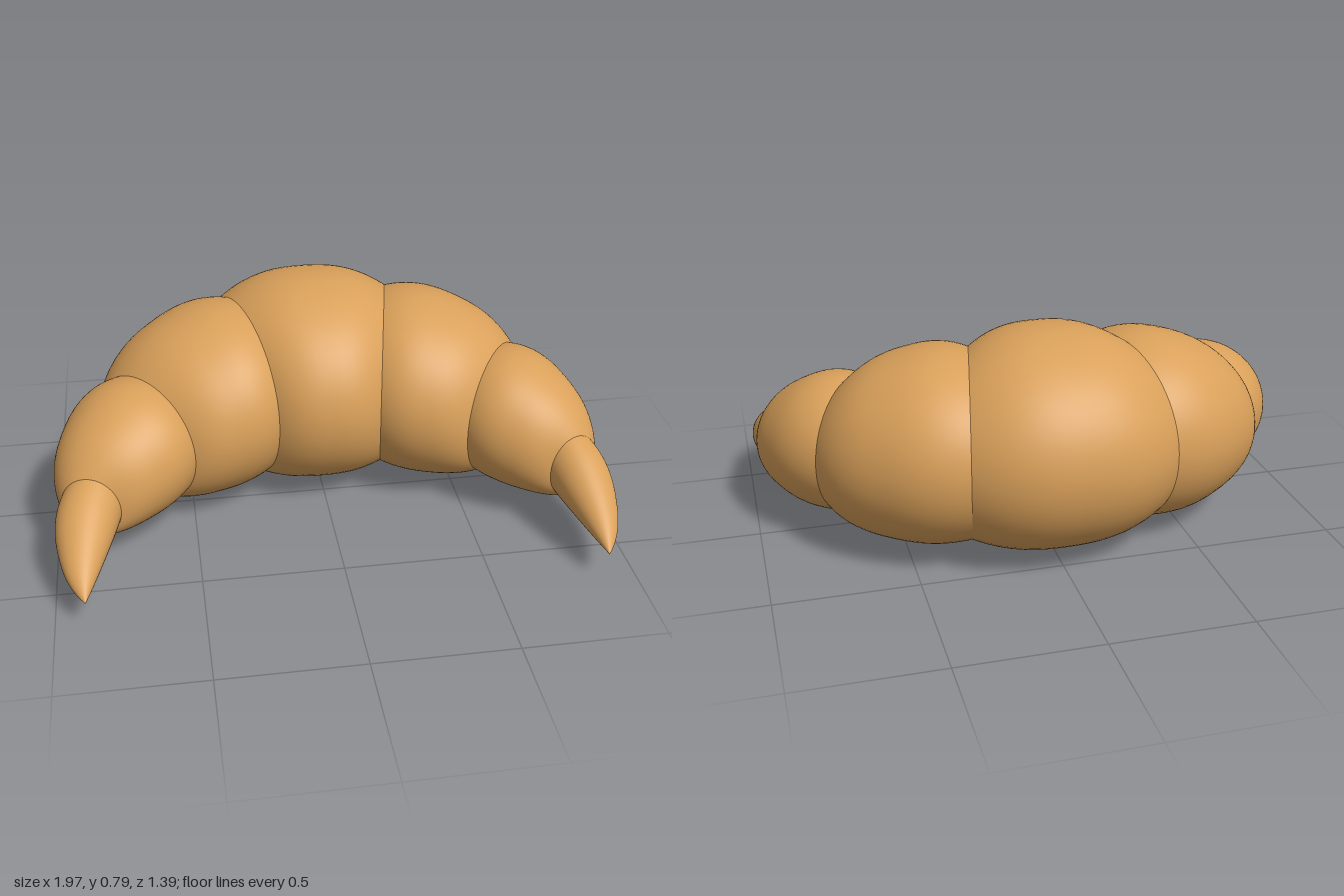
import * as THREE from 'three';

// Creases between rolls, left end to right end: outer x,z / inner x,z / top, bottom
const CREASES = [
  [-0.89, 0.70, -0.89, 0.70, 0.11, 0.11],
  [-0.965, 0.31, -0.76, 0.37, 0.355, 0.115],
  [-0.83, -0.17, -0.49, 0.21, 0.55, 0.075],
  [-0.39, -0.55, -0.18, 0.14, 0.71, 0.045],
  [0.335, -0.575, 0.19, 0.14, 0.71, 0.045],
  [0.80, -0.19, 0.50, 0.21, 0.57, 0.075],
  [0.96, 0.30, 0.77, 0.37, 0.365, 0.115],
  [0.89, 0.70, 0.89, 0.70, 0.11, 0.11],
];

// Swell of each roll: outer, inner, top, bottom
const SWELL = {
  tip: [0.05, 0.005, 0.02, 0.012],
  end: [0.075, 0.035, 0.06, 0.025],
  shoulder: [0.092, 0.04, 0.062, 0.035],
  middle: [0.128, 0.06, 0.08, 0.045],
};
const ROLLS = [
  ['rightTip', 'tip'], ['rightEndRoll', 'end'], ['rightShoulderRoll', 'shoulder'],
  ['middleRoll', 'middle'],
  ['leftShoulderRoll', 'shoulder'], ['leftEndRoll', 'end'], ['leftTip', 'tip'],
];
const STEPS = 28;
const SIDES = 72;

// Loft of elliptical rings between two creases, swollen in between
function rollGeometry(a, b, swell) {
  const [so, si, st, sb] = swell;
  const unitNormal = (i) => {
    const dx = b[i] - a[i], dz = b[i + 1] - a[i + 1];
    const l = Math.hypot(dx, dz);
    return [dz / l, -dx / l];
  };
  const no = unitNormal(0), ni = unitNormal(2);
  const pos = [], index = [];
  for (let s = 0; s <= STEPS; s++) {
    const t = (1 - Math.cos(Math.PI * s / STEPS)) / 2; // denser near the creases
    const w = 1 - Math.pow(Math.abs(2 * t - 1), 2.5);
    const [ox, oz, ix, iz, top, bot] = a.map((v, i) => v + (b[i] - v) * t);
    const O = [ox + no[0] * so * w, oz + no[1] * so * w];
    const I = [ix - ni[0] * si * w, iz - ni[1] * si * w];
    const hi = top + st * w, lo = bot - sb * w;
    for (let k = 0; k < SIDES; k++) {
      const ang = k / SIDES * Math.PI * 2;
      const c = Math.cos(ang) / 2, h = Math.sin(ang) / 2;
      pos.push(
        (O[0] + I[0]) / 2 + (O[0] - I[0]) * c,
        (hi + lo) / 2 + (hi - lo) * h,
        (O[1] + I[1]) / 2 + (O[1] - I[1]) * c,
      );
      if (s < STEPS) {
        const p = s * SIDES + k, q = s * SIDES + (k + 1) % SIDES;
        index.push(p, q, p + SIDES, q, q + SIDES, p + SIDES);
      }
    }
  }
  const g = new THREE.BufferGeometry();
  g.setAttribute('position', new THREE.Float32BufferAttribute(pos, 3));
  g.setIndex(index);
  g.computeVertexNormals();
  return g;
}

export function createModel() {
  const group = new THREE.Group();
  group.name = 'croissant';
  const crust = new THREE.MeshStandardMaterial({ color: 0xd9a05a });
  crust.name = 'goldenCrust';
  ROLLS.forEach(([name, kind], i) => {
    const mesh = new THREE.Mesh(rollGeometry(CREASES[i], CREASES[i + 1], SWELL[kind]), crust);
    mesh.name = name;
    group.add(mesh);
  });
  return group;
}
